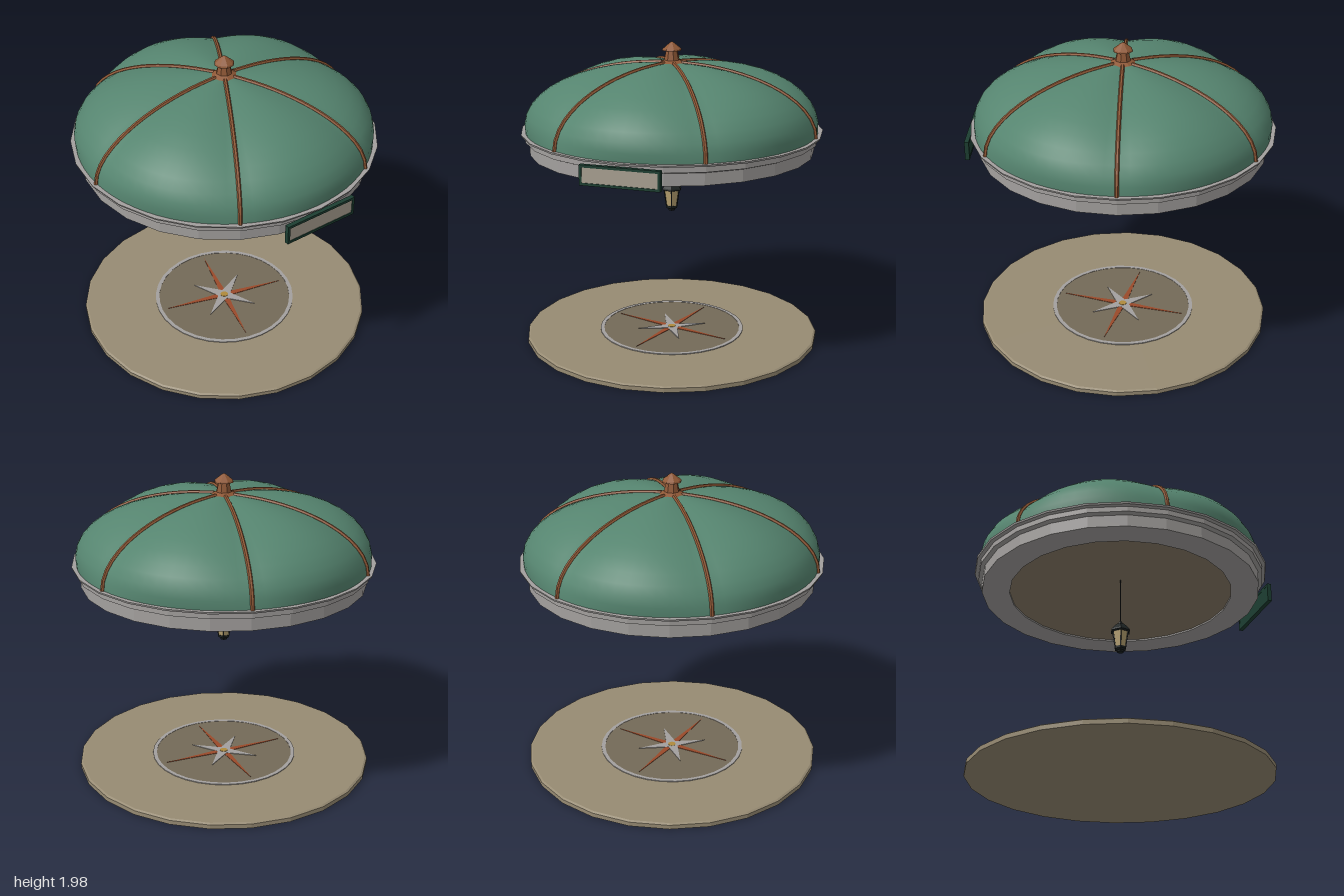
import * as THREE from 'three';
import { mergeVertices } from 'three/addons/utils/BufferGeometryUtils.js';

const mat = (color, flat = true) =>
  new THREE.MeshStandardMaterial({ color, flatShading: flat, side: THREE.DoubleSide });
const M = {
  dome: mat(0x55846f, false), copper: mat(0x8f5836), stone: mat(0xa3a09e), floor: mat(0x978b73),
  inlay: mat(0x746a58), ceiling: mat(0x8a7c68), rust: mat(0x9a4a2a), iron: mat(0x1c2222),
  glass: mat(0xb8a271), green: mat(0x1d3f32), panel: mat(0xaaa192), brass: mat(0xb08a3c),
};
const CENTER_Z = -0.02, DOME_R = 0.94, DOME_Y = 1.41, DOME_H = 0.43;

function add(parent, name, geometry, material) {
  const mesh = new THREE.Mesh(geometry, material);
  mesh.name = name;
  parent.add(mesh);
  return mesh;
}
const lathe = (points, sides) =>
  new THREE.LatheGeometry(points.map(([r, y]) => new THREE.Vector2(r, y)), sides);

// Dome of six gores, swelling between the ribs
function domeGeometry() {
  const rows = 12, profile = [];
  for (let i = 0; i <= rows; i++) {
    const t = (i / rows) * Math.PI / 2;
    profile.push([DOME_R * Math.cos(t), DOME_Y + DOME_H * Math.sin(t)]);
  }
  let geo = lathe(profile, 72);
  const p = geo.attributes.position;
  for (let i = 0; i < p.count; i++) {
    const x = p.getX(i), z = p.getZ(i);
    const t = Math.asin(Math.min(1, (p.getY(i) - DOME_Y) / DOME_H));
    const a = Math.atan2(z, x);
    const swell = 0.05 * Math.sin(2 * t) * Math.abs(Math.sin(3 * (a - Math.PI / 4)));
    p.setXYZ(i, x + Math.cos(a) * swell * Math.cos(t), p.getY(i) + swell * Math.sin(t) * 0.7,
      z + Math.sin(a) * swell * Math.cos(t));
  }
  geo.deleteAttribute('uv');
  geo.deleteAttribute('normal');
  geo = mergeVertices(geo, 1e-4);
  geo.computeVertexNormals();
  return geo;
}

// Four-pointed star lying flat on the floor
function starGeometry(outer, inner, height) {
  const shape = new THREE.Shape();
  for (let i = 0; i < 8; i++) {
    const r = i % 2 ? inner : outer, a = i * Math.PI / 4;
    shape[i ? 'lineTo' : 'moveTo'](r * Math.cos(a), r * Math.sin(a));
  }
  return new THREE.ExtrudeGeometry(shape, { depth: height, bevelEnabled: false }).rotateX(-Math.PI / 2);
}

function createRoof() {
  const roof = new THREE.Group();
  roof.name = 'roof';
  add(roof, 'dome', domeGeometry(), M.dome);

  // Copper ribs
  const points = [];
  for (let i = 0; i <= 8; i++) {
    const t = (i / 8) * 1.5;
    points.push(new THREE.Vector3((DOME_R + 0.004) * Math.cos(t), DOME_Y + (DOME_H + 0.004) * Math.sin(t), 0));
  }
  const ribGeo = new THREE.TubeGeometry(new THREE.CatmullRomCurve3(points), 16, 0.013, 6);
  for (let i = 0; i < 6; i++) {
    add(roof, 'rib', ribGeo, M.copper).rotation.y = -(Math.PI / 4 + i * Math.PI / 3);
  }

  // Finial
  add(roof, 'finial', lathe([[0, 1.82], [0.085, 1.825], [0.085, 1.84], [0.05, 1.858], [0.038, 1.915],
    [0.064, 1.92], [0.06, 1.93], [0.014, 1.968], [0, 1.976]], 8), M.copper);

  // Ring beam, cornice and ceiling
  add(roof, 'cornice', lathe([[0.735, 1.29], [0.735, 1.275], [0.918, 1.275], [0.918, 1.352], [0.945, 1.362],
    [0.945, 1.395], [0.968, 1.4], [0.972, 1.412], [0.92, 1.412]], 24), M.stone);
  add(roof, 'ceiling', lathe([[0, 1.39], [0.37, 1.345], [0.74, 1.285]], 24), M.ceiling);
  return roof;
}

function createFloor() {
  const floor = new THREE.Group();
  floor.name = 'floor';
  add(floor, 'floorSlab', lathe([[0, 0], [0.968, 0], [0.968, 0.028], [0.955, 0.036], [0, 0.036]], 24), M.floor);
  add(floor, 'medallion', new THREE.CylinderGeometry(0.46, 0.46, 0.004, 32).translate(0, 0.037, 0), M.inlay);
  add(floor, 'medallionRing', lathe([[0.48, 0.034], [0.48, 0.041], [0.455, 0.041], [0.455, 0.034]], 32), M.stone);
  // Compass rose
  add(floor, 'longStar', starGeometry(0.42, 0.03, 0.004), M.rust).position.y = 0.038;
  const short = add(floor, 'shortStar', starGeometry(0.23, 0.045, 0.005), M.stone);
  short.position.y = 0.038;
  short.rotation.y = Math.PI / 4;
  add(floor, 'compassBoss', new THREE.CylinderGeometry(0.026, 0.026, 0.01, 12).translate(0, 0.04, 0), M.brass);
  return floor;
}

function createLantern() {
  const lantern = new THREE.Group();
  lantern.name = 'lantern';
  add(lantern, 'cord', new THREE.CylinderGeometry(0.004, 0.004, 0.33, 6).translate(0, 1.23, 0), M.iron);
  const body = new THREE.Group();
  body.name = 'lanternBody';
  body.rotation.y = Math.PI / 6;
  lantern.add(body);
  add(body, 'lanternRoof', lathe([[0, 1.0], [0.056, 1.0], [0.07, 1.006], [0.066, 1.016], [0.034, 1.052],
    [0.026, 1.06], [0.014, 1.066], [0.012, 1.078], [0, 1.084]], 6), M.iron);
  add(body, 'lanternGlass', new THREE.CylinderGeometry(0.054, 0.037, 0.112, 6).translate(0, 0.947, 0), M.glass);
  add(body, 'lanternBase', lathe([[0, 0.86], [0.022, 0.86], [0.026, 0.872], [0.04, 0.88],
    [0.042, 0.895], [0, 0.895]], 6), M.iron);
  // Bars at the glass corners
  for (let i = 0; i < 6; i++) {
    const a = i * Math.PI / 3;
    const curve = new THREE.LineCurve3(new THREE.Vector3(Math.sin(a) * 0.038, 0.89, Math.cos(a) * 0.038),
      new THREE.Vector3(Math.sin(a) * 0.056, 1.004, Math.cos(a) * 0.056));
    add(body, 'lanternBar', new THREE.TubeGeometry(curve, 1, 0.004, 4), M.iron);
  }
  return lantern;
}

// Blank framed board on the cornice
function createSign() {
  const sign = new THREE.Group();
  sign.name = 'sign';
  const w = 0.5, h = 0.125, b = 0.016;
  add(sign, 'signBack', new THREE.BoxGeometry(w - 0.01, h - 0.01, 0.016).translate(0, 0, -0.004), M.green);
  add(sign, 'signPanel', new THREE.BoxGeometry(w - 2 * b, h - 2 * b, 0.006).translate(0, 0, 0.006), M.panel);
  for (const s of [-1, 1]) {
    add(sign, 'signRail', new THREE.BoxGeometry(w, b, 0.028).translate(0, s * (h - b) / 2, 0), M.green);
    add(sign, 'signStile', new THREE.BoxGeometry(b, h, 0.028).translate(s * (w - b) / 2, 0, 0), M.green);
  }
  const a = Math.PI / 12;
  sign.position.set(0.968 * Math.sin(a), 1.328, 0.968 * Math.cos(a));
  sign.rotation.y = a;
  return sign;
}

export function createModel() {
  const model = new THREE.Group();
  model.name = 'domedPavilion';
  model.add(createRoof(), createFloor(), createLantern(), createSign());
  model.position.z = CENTER_Z;
  return model;
}
